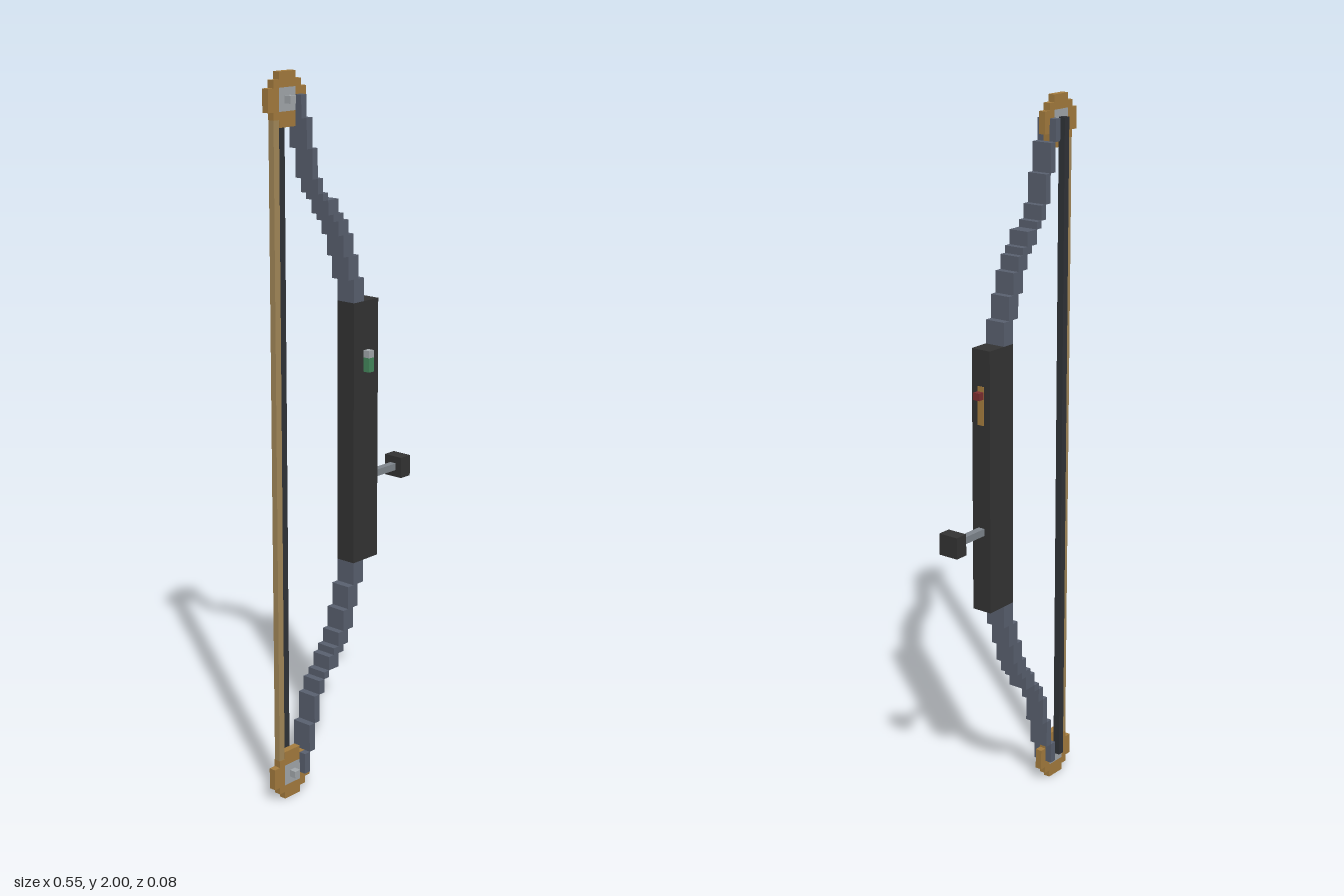
import * as THREE from 'three';

const V = 0.0201; // edge of one cube of the blocky grid

const mat = (name, color) => {
  const m = new THREE.MeshStandardMaterial({ color });
  m.name = name;
  return m;
};

export function createModel() {
  const model = new THREE.Group();
  model.name = 'compoundBow';

  const charcoal = mat('charcoal', 0x343434);
  const slate = mat('slate', 0x5a6170);
  const gold = mat('gold', 0xa67d3e);
  const tan = mat('tan', 0xa58a5a);
  const cable = mat('cableBlack', 0x303338);
  const silver = mat('silver', 0xa4a9ad);
  const steel = mat('steel', 0x80878e);
  const red = mat('red', 0x7c2e30);
  const green = mat('green', 0x458a5e);

  // Box given by its limits on each axis
  const box = (name, material, [x0, x1], [y0, y1], [z0, z1], parent = model) => {
    const mesh = new THREE.Mesh(new THREE.BoxGeometry(x1 - x0, y1 - y0, z1 - z0), material);
    mesh.position.set((x0 + x1) / 2, (y0 + y1) / 2, (z0 + z1) / 2);
    mesh.name = name;
    parent.add(mesh);
    return mesh;
  };

  const wide = [-0.04, 0.02];
  const thin = [-0.02, 0];

  // Riser
  box('riser', charcoal, [0.03, 0.13], [0.63, 1.37], wide);

  // Stepped limbs, described for the upper half: x range, y range
  const steps = [
    [-0.173, -0.153, 1.88, 1.94],
    [-0.153, -0.132, 1.80, 1.88],
    [-0.132, -0.112, 1.72, 1.80],
    [-0.112, -0.092, 1.68, 1.72],
    [-0.092, -0.072, 1.66, 1.68],
    [-0.072, -0.032, 1.62, 1.66],
    [-0.052, -0.012, 1.60, 1.62],
    [-0.032, 0.008, 1.56, 1.60],
    [-0.012, 0.028, 1.50, 1.56],
    [0.008, 0.048, 1.435, 1.50],
    [0.03, 0.07, 1.37, 1.435],
  ];

  // Stepped round cam with a square opening
  const quarter = [[3.5, 1.5], [2.5, 1.5], [2.5, 2.5], [1.5, 2.5], [1.5, 3.5]];
  const outline = [];
  for (let q = 0; q < 4; q++) {
    for (const [a, b] of quarter) {
      const [x, y] = [[a, b], [-b, a], [-a, -b], [b, -a]][q];
      outline.push(new THREE.Vector2(x * V, y * V));
    }
  }
  const camShape = new THREE.Shape(outline);
  const h = 1.5 * V;
  camShape.holes.push(new THREE.Path([[-h, -h], [-h, h], [h, h], [h, -h]].map(([x, y]) => new THREE.Vector2(x, y))));
  const camGeometry = new THREE.ExtrudeGeometry(camShape, { depth: 0.02, bevelEnabled: false });
  const camX = -0.203;

  for (const [side, s] of [['upper', 1], ['lower', -1]]) {
    const limb = new THREE.Group();
    limb.name = side + 'Limb';
    model.add(limb);
    for (const [x0, x1, y0, y1] of steps) {
      const ys = s > 0 ? [y0, y1] : [2 - y1, 2 - y0];
      box('limbStep', slate, [x0, x1], ys, wide, limb);
    }

    const wheel = new THREE.Group();
    wheel.name = side + 'Cam';
    wheel.position.set(camX, 1 + s * 0.93, 0);
    model.add(wheel);
    const rim = new THREE.Mesh(camGeometry, gold);
    rim.name = 'camRim';
    rim.position.z = -0.02;
    wheel.add(rim);
    box('camHub', silver, [-h, h], [-h, h], thin, wheel);
    box('camAxle', silver, [-0.01, 0.01], [-0.01, 0.01], [0, 0.02], wheel);
  }

  // Bowstring and rear cable
  box('bowstring', tan, [-0.253, -0.233], [0.1, 1.9], [-0.019, -0.001]);
  box('cable', cable, [-0.213, -0.193], [0.07, 1.94], [-0.04, -0.02]);

  // Stabilizer rod and weight
  box('stabilizerRod', steel, [0.13, 0.233], [0.852, 0.872], thin);
  box('stabilizerWeight', charcoal, [0.233, 0.272], [0.832, 0.892], wide);

  // Sight: plate on the riser edge and red pin
  box('sightPlate', gold, [0.128, 0.132], [1.163, 1.27], thin);
  box('sightPin', red, [0.13, 0.15], [1.236, 1.256], thin);

  // Level on the front face
  box('levelBody', green, [0.07, 0.09], [1.174, 1.214], [0.02, 0.04]);
  box('levelCap', silver, [0.07, 0.09], [1.214, 1.234], [0.02, 0.04]);

  return model;
}
